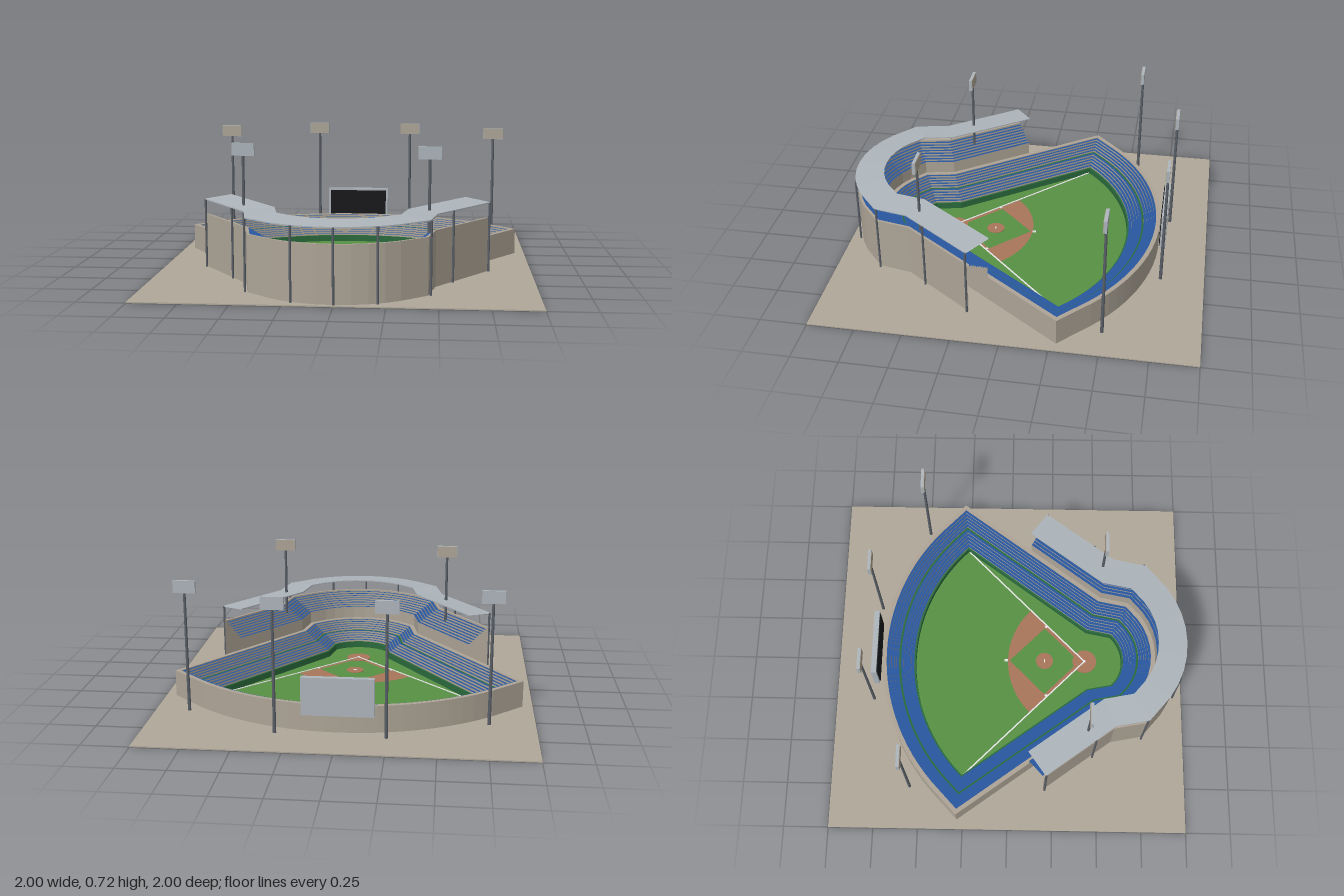
import * as THREE from 'three';

const mat = (name, color, side = THREE.FrontSide) => {
  const m = new THREE.MeshStandardMaterial({ color, side });
  m.name = name;
  return m;
};

// Centre of the ballpark geometry: home plate
const HOME_Z = 0.44;

// Points on a circle around home plate; a is measured from the line to centre field
function arc(radius, from, to, steps) {
  return Array.from({ length: steps + 1 }, (_, i) => {
    const a = from + ((to - from) * i) / steps;
    return [radius * Math.sin(a), HOME_Z - radius * Math.cos(a)];
  });
}

// Mitred outward offset of every point of a path
function offsets(path, closed) {
  const n = path.length;
  const normal = (a, b) => {
    const dx = b[0] - a[0], dz = b[1] - a[1], l = Math.hypot(dx, dz);
    return [dz / l, -dx / l];
  };
  return path.map((p, i) => {
    const prev = closed || i > 0 ? normal(path[(i + n - 1) % n], p) : null;
    const next = closed || i < n - 1 ? normal(p, path[(i + 1) % n]) : null;
    const a = prev || next, b = next || prev;
    const k = 1 + a[0] * b[0] + a[1] * b[1];
    return [(a[0] + b[0]) / k, (a[1] + b[1]) / k];
  });
}

// Sweeps profile lines of [outward offset, height] along a path, flat shaded
function sweep(path, closed, profiles) {
  const off = offsets(path, closed), n = path.length, pos = [];
  const at = (i, [d, y]) => [path[i][0] + off[i][0] * d, y, path[i][1] + off[i][1] * d];
  for (const profile of profiles) {
    for (let i = 0; i < (closed ? n : n - 1); i++) {
      const k = (i + 1) % n;
      for (let j = 0; j < profile.length - 1; j++) {
        const a = at(i, profile[j]), b = at(k, profile[j]);
        const c = at(k, profile[j + 1]), d = at(i, profile[j + 1]);
        pos.push(...a, ...b, ...c, ...a, ...c, ...d);
      }
    }
  }
  const g = new THREE.BufferGeometry();
  g.setAttribute('position', new THREE.Float32BufferAttribute(pos, 3));
  g.computeVertexNormals();
  return g;
}

// Stepped rows: separate profile lines for risers and treads
function rows(count, d, y, depth, rise) {
  const risers = [], treads = [];
  for (let i = 0; i < count; i++) {
    const d0 = d + i * depth, y1 = y + (i + 1) * rise;
    risers.push([[d0, y1 - rise], [d0, y1]]);
    treads.push([[d0, y1], [d0 + depth, y1]]);
  }
  return { risers, treads };
}

// Flat patch on the ground from [x, z] points
function patch(points, y) {
  const shape = new THREE.Shape(points.map(([x, z]) => new THREE.Vector2(x, -z)));
  return new THREE.ShapeGeometry(shape).rotateX(-Math.PI / 2).translate(0, y, 0);
}

export function createModel() {
  const root = new THREE.Group();
  root.name = 'ballpark';

  const ground = mat('ground tan', 0xb0a799);
  const concrete = mat('concrete', 0xada496, THREE.DoubleSide);
  const seat = mat('seat blue', 0x2858a0, THREE.DoubleSide);
  const padding = mat('wall green', 0x2a6a3c, THREE.DoubleSide);
  const grass = mat('grass green', 0x589044);
  const dirt = mat('infield dirt', 0xa8755a);
  const white = mat('chalk white', 0xf0f0f0);
  const metal = mat('light metal', 0xadb5bb, THREE.DoubleSide);
  const steel = mat('dark steel', 0x5a6068);
  const screen = mat('screen black', 0x18191c);

  const add = (name, geometry, material, x = 0, y = 0, z = 0, parent = root) => {
    const m = new THREE.Mesh(geometry, material);
    m.name = name;
    m.position.set(x, y, z);
    parent.add(m);
    return m;
  };
  const box = (w, h, d) => new THREE.BoxGeometry(w, h, d);
  const Q = Math.PI / 4;

  // Field outline: outfield arc, right side, arc behind home, left side
  const corner = [0.18, 0.45];
  const field = [
    ...arc(0.99, -Q, Q, 28), corner,
    ...arc(0.215, 3 * Q, 5 * Q, 10), [-corner[0], corner[1]],
  ];

  // Ground and playing surface
  add('ground', box(2, 0.006, 2), ground, 0, 0.003, 0);
  add('outfieldGrass', patch(field, 0.009), grass);
  add('infieldDirt', patch([[0, HOME_Z], ...arc(0.45, -Q, Q, 24)], 0.011), dirt);
  add('infieldGrass', patch([[0, 0.41], [0.205, 0.205], [0, 0], [-0.205, 0.205]], 0.013), grass);
  const disc = (r) => new THREE.CylinderGeometry(r, r, 0.005, 28);
  add('pitchersMound', disc(0.05), dirt, 0, 0.013, 0.205);
  add('homeCircle', disc(0.07), dirt, 0, 0.0125, HOME_Z);
  add('pitchersPlate', box(0.02, 0.003, 0.006), white, 0, 0.017, 0.205);
  add('homePlate', box(0.014, 0.003, 0.014), white, 0, 0.0165, HOME_Z);
  add('secondBase', box(0.012, 0.006, 0.02), white, 0, 0.014, -0.02);
  for (const s of [-1, 1]) {
    const line = add('foulLine', box(0.008, 0.003, 0.98), white, s * 0.348, 0.016, HOME_Z - 0.348);
    line.rotation.y = -s * Q;
    add('cornerBase', box(0.014, 0.004, 0.014), white, s * 0.215, 0.017, 0.215).rotation.y = Q;
  }

  // Lower bowl: padded wall, two tiers of seats, walkway and outer wall
  const tier1 = rows(5, 0.01, 0.045, 0.0145, 0.01);
  const tier2 = rows(5, 0.0935, 0.095, 0.0135, 0.01);
  add('fieldWall', sweep(field, true, [[[0, 0], [0, 0.045], [0.01, 0.045]]]), padding);
  add('walkway', sweep(field, true, [[[0.0825, 0.095], [0.0935, 0.095]]]), padding);
  add('lowerSteps', sweep(field, true, [...tier1.risers, ...tier2.risers]), concrete);
  add('lowerSeats', sweep(field, true, [...tier1.treads, ...tier2.treads]), seat);
  add('lowerOuterWall',
    sweep(field, true, [[[0.161, 0.145], [0.161, 0.15], [0.185, 0.15], [0.185, 0]]]), concrete);

  // Upper deck behind home plate
  const deckEnd = [0.504, 0.008];
  const deck = [
    deckEnd, corner, ...arc(0.215, 3 * Q, 5 * Q, 10),
    [-corner[0], corner[1]], [-deckEnd[0], deckEnd[1]],
  ];
  const upper = rows(8, 0.187, 0.21, 0.0155, 0.01);
  add('upperFrontWall', sweep(deck, false, [[[0.187, 0.14], [0.187, 0.21]]]), concrete);
  add('upperSteps', sweep(deck, false, upper.risers), concrete);
  add('upperSeats', sweep(deck, false, upper.treads), seat);
  add('upperOuterWall',
    sweep(deck, false, [[[0.311, 0.29], [0.311, 0.3], [0.325, 0.3], [0.325, 0]]]), concrete);

  // Sloping canopy and its posts
  add('canopy', sweep(deck, false, [
    [[0.175, 0.391], [0.175, 0.397], [0.335, 0.385], [0.335, 0.379], [0.175, 0.391]],
  ]), metal);
  const post = new THREE.CylinderGeometry(0.006, 0.006, 0.382, 8);
  const postSpots = [[0.77, 0.21], [0.575, 0.48], [0.462, 0.762], [0.21, 0.95]];
  for (const [x, z] of postSpots) {
    for (const s of [-1, 1]) add('canopyPost', post, steel, s * x, 0.191, z);
  }
  add('canopyPost', post, steel, 0, 0.191, 0.988);

  // Scoreboard beyond centre field
  add('scoreboardFrame', box(0.37, 0.2, 0.03), metal, 0, 0.208, -0.76);
  add('scoreboardScreen', box(0.345, 0.175, 0.006), screen, 0, 0.208, -0.743);

  // Floodlight towers, lamps turned towards the field
  const towers = [
    [-0.52, 0.435], [0.45, 0.525], [-0.76, -0.555],
    [0.82, -0.5], [-0.245, -0.785], [0.32, -0.765],
  ];
  for (const [x, z] of towers) {
    const tower = new THREE.Group();
    tower.name = 'floodlightTower';
    tower.position.set(x, 0, z);
    root.add(tower);
    add('towerPole', new THREE.CylinderGeometry(0.007, 0.009, 0.66, 8), steel, 0, 0.33, 0, tower);
    add('lampHousing', box(0.117, 0.066, 0.016), metal, 0, 0.684, 0, tower);
    add('lampFace', box(0.115, 0.064, 0.004), concrete, 0, 0.684, z < 0 ? 0.009 : -0.009, tower);
  }
  return root;
}
